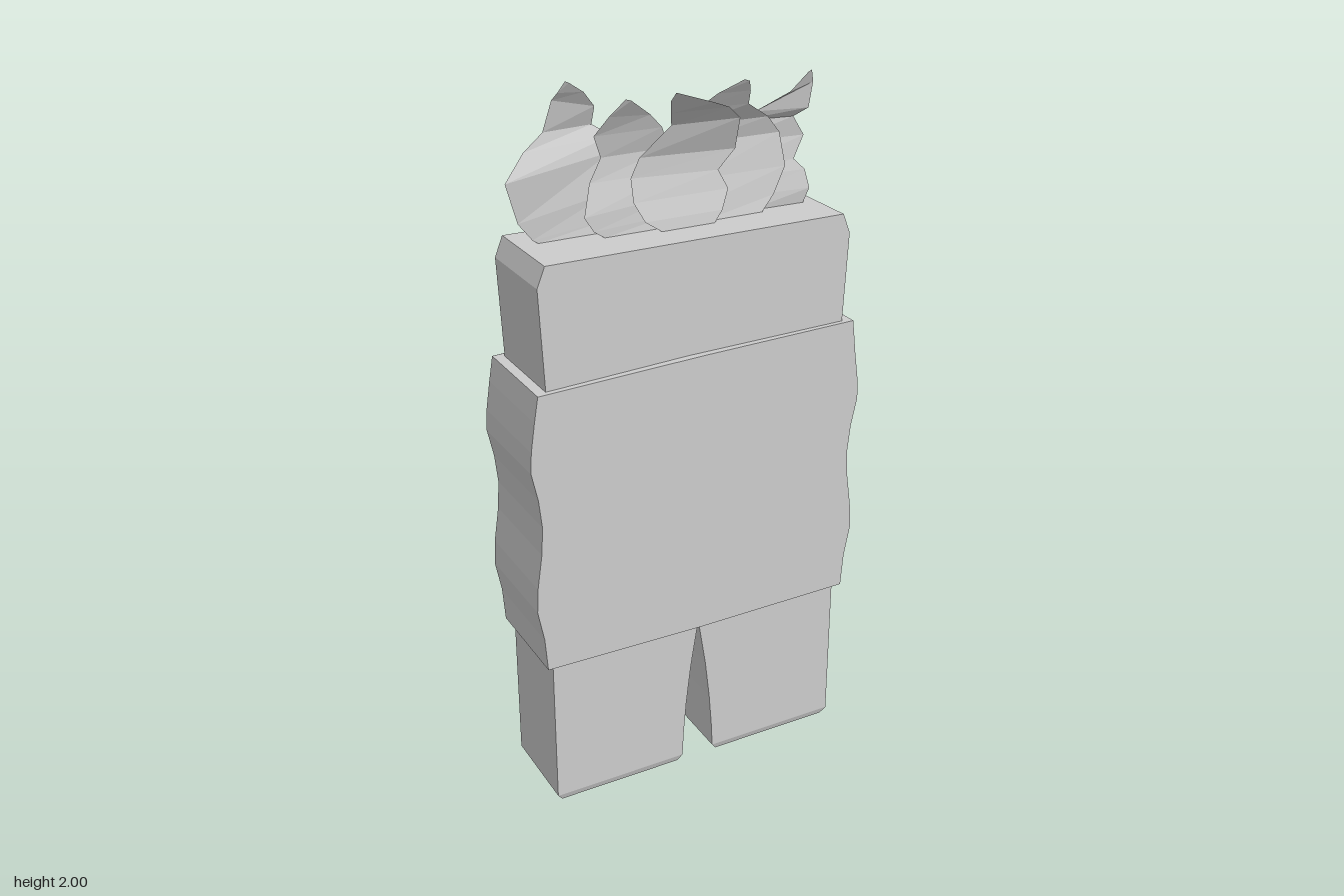
import * as THREE from 'three';

const grey = new THREE.MeshStandardMaterial({ name: 'plain grey', color: 0xcccccc, side: THREE.DoubleSide, flatShading: true });

function facets(name, tris) {
  const geo = new THREE.BufferGeometry();
  geo.setAttribute('position', new THREE.Float32BufferAttribute(tris.flat(2), 3));
  geo.computeVertexNormals();
  const mesh = new THREE.Mesh(geo, grey);
  mesh.name = name;
  return mesh;
}

// Stack of rings (points clockwise from above) joined into a closed solid
function loft(name, rings) {
  const tris = [];
  const n = rings[0].length;
  for (let r = 0; r + 1 < rings.length; r++) {
    for (let i = 0; i < n; i++) {
      const j = (i + 1) % n;
      const a = rings[r][i], b = rings[r][j], c = rings[r + 1][j], d = rings[r + 1][i];
      tris.push([a, d, c], [a, c, b]);
    }
  }
  const top = rings[rings.length - 1], low = rings[0];
  for (let i = 1; i + 1 < n; i++) {
    tris.push([top[0], top[i + 1], top[i]], [low[0], low[i], low[i + 1]]);
  }
  return facets(name, tris);
}

// Thin curled sheet; each row is y at left, y at right, x left, x right, z left, z right
function tuft(name, rows) {
  const tris = [];
  for (let i = 0; i + 1 < rows.length; i++) {
    const [a, b, c, d] = [rows[i], rows[i + 1]].flatMap(
      ([yl, yr, xl, xr, zl, zr]) => [[xl, yl, zl], [xr, yr, zr]]);
    tris.push([a, b, d], [a, d, c]);
  }
  return facets(name, tris);
}

const rect = (y, x0, x1, z) => [[x0, y, -z], [x1, y, -z], [x1, y, z], [x0, y, z]];

export function createModel() {
  const model = new THREE.Group();
  model.name = 'figure';

  // Slab body with legs divided by a pointed notch
  const half = [[0.05, 0.02], [0.046, 0.1], [0.038, 0.2], [0.024, 0.32], [0, 0.47]];
  const side = [[0.43, 1.6], [0.452, 1.545], [0.44, 1.28], [0.45, 0.45], [0.45, 0.02]];
  const right = [...side, ...half];
  const left = right.slice(0, -1).reverse().map(([x, y]) => [-x, y]);
  const shape = new THREE.Shape([...right, ...left].map(([x, y]) => new THREE.Vector2(x, y)));
  const slab = new THREE.ExtrudeGeometry(shape, { depth: 0.264, bevelEnabled: false });
  slab.translate(0, 0, -0.132);
  const body = new THREE.Mesh(slab, grey);
  body.name = 'body';
  model.add(body);

  // Tapered soles
  for (const s of [-1, 1]) {
    const x = s * 0.25;
    model.add(loft(s < 0 ? 'rightSole' : 'leftSole', [
      rect(0, x - 0.185, x + 0.185, 0.125),
      rect(0.02, x - 0.2, x + 0.2, 0.132),
    ]));
  }

  // Wavy wrap around the torso, with a sloping upper edge
  const waves = [[0.462, 0.47], [0.56, 0.477], [0.65, 0.494], [0.72, 0.49], [0.82, 0.475],
    [0.9, 0.47], [0.98, 0.478], [1.06, 0.495], [1.12, 0.492], [1.2, 0.48], [1.285, 0.468]];
  model.add(loft('wrap', waves.map(([y, w], i) => {
    const t = i === waves.length - 1 ? 1 : 0;
    const yl = y - 0.015 * t, ym = y + 0.005 * t, yr = y + 0.012 * t;
    return [[-w, yl, -0.149], [0, ym, -0.156], [w, yr, -0.149],
      [w, yr, 0.147], [0, ym, 0.154], [-w, yl, 0.147]];
  })));

  // Curled hair tufts
  const hair = new THREE.Group();
  hair.name = 'hair';
  hair.add(
    tuft('outerRightTuft', [
      [1.6, 1.6, -0.375, -0.2, -0.03, -0.03],
      [1.61, 1.63, -0.39, -0.18, -0.03, -0.035],
      [1.66, 1.7, -0.43, -0.17, -0.025, -0.04],
      [1.77, 1.8, -0.465, -0.16, -0.01, -0.05],
      [1.83, 1.84, -0.4, -0.15, -0.045, -0.06],
      [1.87, 1.87, -0.34, -0.2, -0.06, -0.075],
      [1.95, 1.92, -0.32, -0.2, -0.045, -0.055],
      [1.97, 1.965, -0.31, -0.24, -0.03, -0.03],
      [2, 1.995, -0.295, -0.285, -0.015, -0.015],
    ]),
    tuft('innerRightTuft', [
      [1.6, 1.6, -0.21, -0.04, 0.01, 0.01],
      [1.62, 1.63, -0.24, -0.02, 0.01, 0.005],
      [1.66, 1.68, -0.265, 0, 0.01, 0],
      [1.74, 1.74, -0.24, 0.01, -0.01, -0.01],
      [1.8, 1.8, -0.205, -0.01, -0.015, -0.02],
      [1.86, 1.86, -0.23, -0.04, 0, 0],
      [1.91, 1.9, -0.2, -0.08, 0.025, 0.015],
      [1.955, 1.95, -0.165, -0.15, 0.05, 0.05],
    ]),
    tuft('middleTuft', [
      [1.6, 1.6, -0.06, 0.095, 0.035, 0.035],
      [1.63, 1.63, -0.105, 0.12, 0.03, 0.03],
      [1.68, 1.68, -0.13, 0.145, 0.015, 0.015],
      [1.74, 1.73, -0.13, 0.12, 0, 0.005],
      [1.79, 1.78, -0.105, 0.17, 0, 0.005],
      [1.87, 1.87, -0.03, 0.16, 0.03, 0.045],
      [1.91, 1.91, -0.05, 0.11, 0.065, 0.075],
      [1.95, 1.935, -0.068, 0.05, 0.1, 0.105],
      [1.975, 1.97, -0.065, -0.05, 0.122, 0.122],
    ]),
    tuft('innerLeftTuft', [
      [1.6, 1.6, 0.06, 0.25, 0.015, 0.015],
      [1.64, 1.64, 0.05, 0.29, 0.01, 0.005],
      [1.71, 1.71, 0.06, 0.33, -0.005, -0.005],
      [1.8, 1.8, 0.05, 0.315, -0.02, -0.015],
      [1.85, 1.85, 0.04, 0.27, -0.01, 0],
      [1.9, 1.9, 0.05, 0.19, 0.02, 0.035],
      [1.94, 1.94, 0.09, 0.18, 0.05, 0.06],
      [1.975, 1.97, 0.15, 0.165, 0.08, 0.08],
    ]),
    tuft('outerLeftTuft', [
      [1.6, 1.6, 0.22, 0.39, -0.01, -0.005],
      [1.64, 1.64, 0.2, 0.405, -0.015, 0],
      [1.69, 1.69, 0.18, 0.395, -0.025, -0.01],
      [1.72, 1.72, 0.19, 0.365, -0.03, -0.02],
      [1.78, 1.78, 0.17, 0.397, -0.045, -0.025],
      [1.835, 1.835, 0.2, 0.36, -0.045, -0.02],
      [1.86, 1.86, 0.245, 0.39, -0.025, 0.005],
      [1.91, 1.93, 0.33, 0.395, 0.01, 0.015],
      [1.96, 1.965, 0.37, 0.38, 0.03, 0.03],
    ]),
  );
  model.add(hair);
  return model;
}
